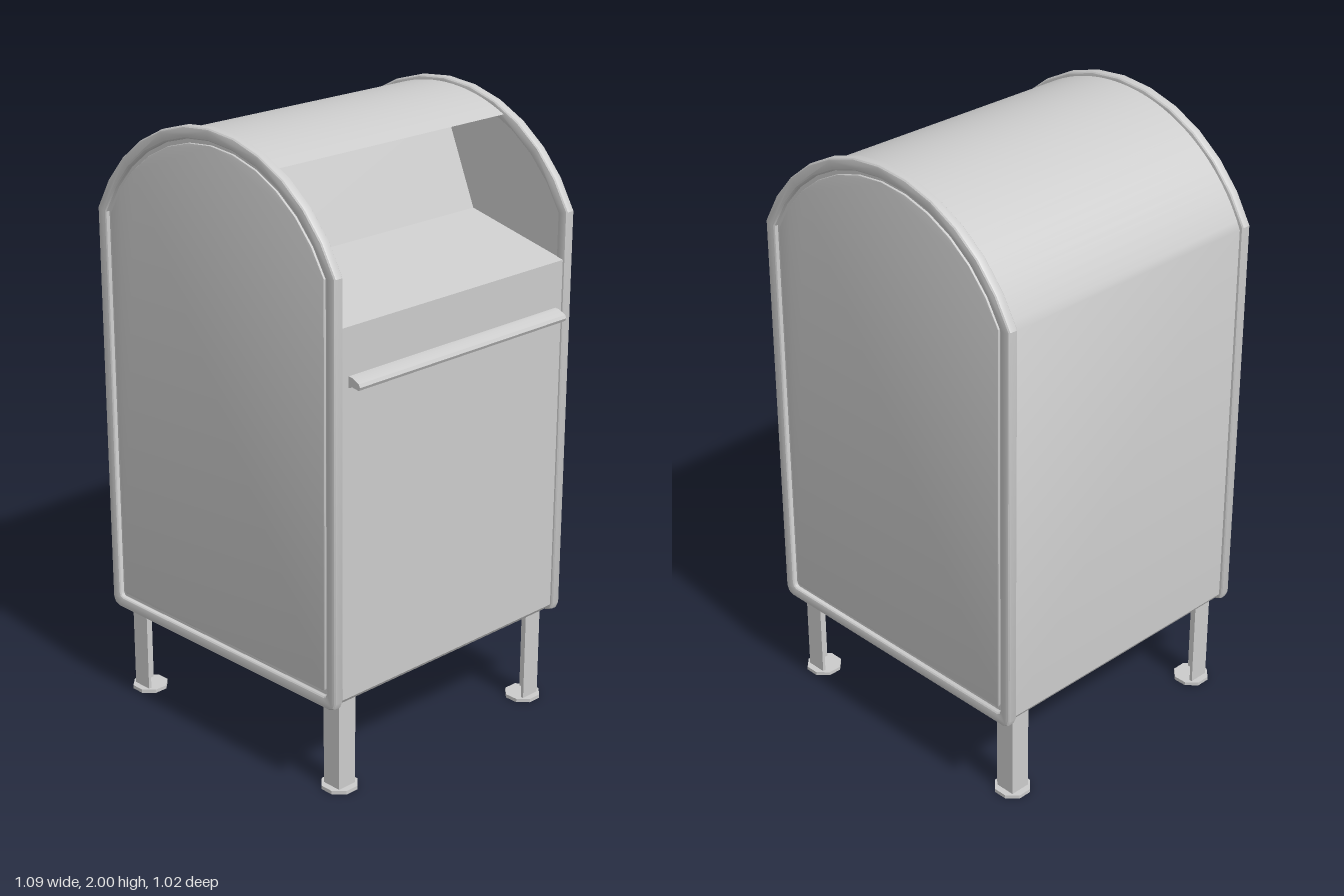
import * as THREE from 'three';
import { toCreasedNormals } from 'three/addons/utils/BufferGeometryUtils.js';

const CX = -0.018;      // centre line of the cabinet
const ARC_Y = 1.42;     // centre height of the roof arc
const material = new THREE.MeshStandardMaterial({ color: 0xcccccc, side: THREE.DoubleSide });

function addMesh(parent, name, geometry, x = 0, y = 0, z = 0) {
  const mesh = new THREE.Mesh(geometry, material);
  mesh.name = name;
  mesh.position.set(x, y, z);
  parent.add(mesh);
  return mesh;
}

// Points along the roof arc, from angle a0 to a1 measured from straight up
function roofArc(radius, a0, a1, segments, cx = 0) {
  const points = [];
  for (let i = 0; i <= segments; i++) {
    const a = a0 + (a1 - a0) * i / segments;
    points.push(new THREE.Vector2(cx + radius * Math.sin(a), ARC_Y + radius * Math.cos(a)));
  }
  return points;
}

// Arched outline of an end, moved inwards by an offset, with cut lower corners
function archOutline(offset) {
  const w = 0.527 - offset, r = 0.58 - offset, bottom = 0.308 + offset;
  const cut = Math.max(0.03 - offset * 0.4, 0.01);
  const a = Math.asin(w / r);
  return [
    new THREE.Vector2(-w, bottom + cut), new THREE.Vector2(-w + cut * 0.3, bottom + cut * 0.3),
    new THREE.Vector2(-w + cut, bottom), new THREE.Vector2(w - cut, bottom),
    new THREE.Vector2(w - cut * 0.3, bottom + cut * 0.3), new THREE.Vector2(w, bottom + cut),
    ...roofArc(r, a, -a, 12),
  ];
}

function extrude(shape, depth, bevel = 0) {
  const geometry = new THREE.ExtrudeGeometry(shape, {
    depth: depth - 2 * bevel, bevelEnabled: bevel > 0, bevelThickness: bevel,
    bevelSize: bevel, bevelOffset: -bevel, bevelSegments: 3,
  });
  geometry.translate(0, 0, bevel);
  return toCreasedNormals(geometry, 0.5);
}

// Cabinet cross-section with the mail opening cut into the upper right
function makeBody() {
  const r = 0.565, left = -Math.asin(0.515 / r), lip = Math.asin((0.24 - CX) / r);
  const shape = new THREE.Shape([
    new THREE.Vector2(-0.525, 0.322), new THREE.Vector2(0.49, 0.322), new THREE.Vector2(0.499, 0.335),
    new THREE.Vector2(0.499, 1.51),   // front edge of the chute
    new THREE.Vector2(0.12, 1.6),     // chute floor meets the chute back
    new THREE.Vector2(-0.01, 1.91),   // chute back meets the hood underside
    ...roofArc(r, lip, left, 32, CX),
    new THREE.Vector2(-0.533, 0.335),
  ]);
  const geometry = extrude(shape, 0.96);
  geometry.translate(0, 0, -0.48);
  return geometry;
}

// One arched end: backing plate, rolled rim and inset panel
function makeEnd(name) {
  const end = new THREE.Group();
  end.name = name;
  const rim = new THREE.Shape(archOutline(0));
  rim.holes.push(new THREE.Path(archOutline(0.04)));
  addMesh(end, 'rim', extrude(rim, 0.036, 0.01), 0, 0, 0.475);
  addMesh(end, 'backingPlate', extrude(new THREE.Shape(archOutline(0.015)), 0.018), 0, 0, 0.477);
  addMesh(end, 'insetPanel', extrude(new THREE.Shape(archOutline(0.053)), 0.01, 0.003), 0, 0, 0.492);
  end.position.x = CX;
  return end;
}

// Angle-iron leg on a thin cut-cornered foot; sx and sz pick the corner
function makeLeg(name, sx, sz) {
  const leg = new THREE.Group();
  leg.name = name;
  const size = 0.068, t = 0.01, h = 0.32;
  const x = sx * 0.489, z = sz * 0.457;
  addMesh(leg, 'endFlange', new THREE.BoxGeometry(size, h, t), x - sx * size / 2, h / 2 + 0.005, z - sz * t / 2);
  addMesh(leg, 'sideFlange', new THREE.BoxGeometry(t, h, size), x - sx * t / 2, h / 2 + 0.005, z - sz * size / 2);
  const foot = new THREE.CylinderGeometry(0.0595, 0.0595, 0.012, 8).rotateY(Math.PI / 8);
  addMesh(leg, 'foot', toCreasedNormals(foot, 0.3), x - sx * 0.034, 0.006, z - sz * 0.034);
  leg.position.x = CX;
  return leg;
}

export function createModel() {
  const model = new THREE.Group();
  model.name = 'mailCollectionBox';
  addMesh(model, 'body', makeBody());

  const front = makeEnd('frontEnd');
  const back = makeEnd('backEnd');
  back.rotation.y = Math.PI;
  model.add(front, back);

  // Tapered pull bar under the opening
  const bar = new THREE.Shape([
    new THREE.Vector2(0.495, 1.325), new THREE.Vector2(0.515, 1.332), new THREE.Vector2(0.54, 1.328),
    new THREE.Vector2(0.545, 1.338), new THREE.Vector2(0.54, 1.348), new THREE.Vector2(0.515, 1.36),
    new THREE.Vector2(0.495, 1.362),
  ]);
  addMesh(model, 'pullBar', extrude(bar, 0.894), 0, 0, -0.447);

  for (const [side, sx] of [['Left', 1], ['Right', -1]]) {
    for (const [end, sz] of [['front', 1], ['back', -1]]) model.add(makeLeg(end + side + 'Leg', sx, sz));
  }
  return model;
}
